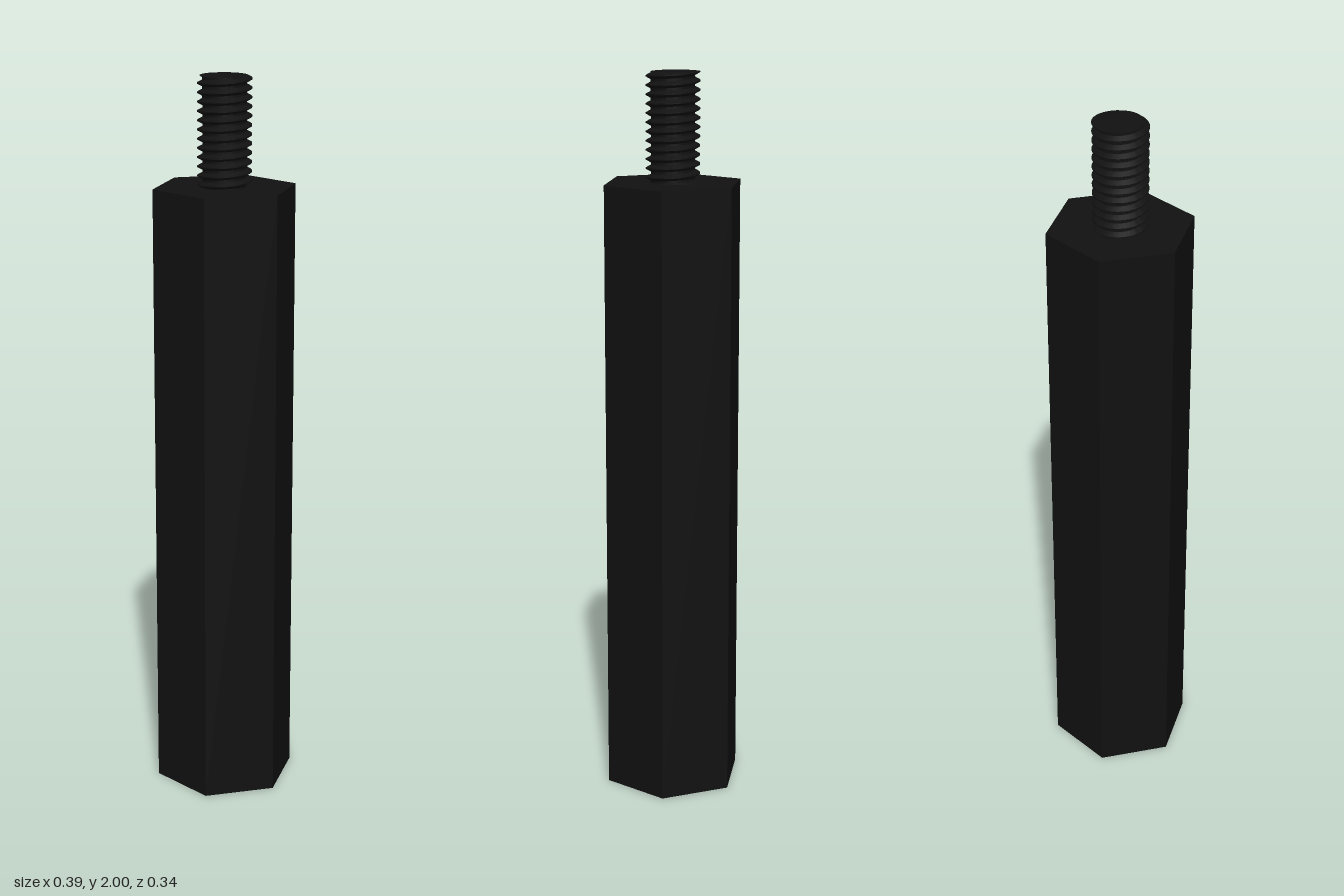
import * as THREE from 'three';
import { toCreasedNormals } from 'three/addons/utils/BufferGeometryUtils.js';

const HEX = 0.197, BODY_TOP = 1.707, TOP = 2, HOLE_DEPTH = 0.42;
const MAJOR = 0.073, MINOR = 0.059, PITCH = 0.0244, SEG = 64;
const KINKS = [-1 / 16, 1 / 16, 3 / 8, 5 / 8]; // crest and root edges within one pitch

// Phase shift of the helix around the axis
const turn = (a) => (a - Math.PI / 2) / (2 * Math.PI);

// Thread radius at a height and angle: flat crest, sloped flanks, flat root
function threadRadius(y, a) {
  const phase = (y - TOP) / PITCH - turn(a);
  const d = Math.abs(phase - Math.round(phase));
  const t = THREE.MathUtils.clamp((d - 1 / 16) / (3 / 8 - 1 / 16), 0, 1);
  return THREE.MathUtils.lerp(MAJOR, MINOR, t);
}

function threadPoint(y, a) {
  const r = threadRadius(y, a);
  return new THREE.Vector3(r * Math.cos(a), y, -r * Math.sin(a));
}

// Helical wall from y0 to y1, closed at y1 by a fan to apexY
function threadGeometry(y0, y1, apexY, inward) {
  const pos = [];
  const tri = (a, b, c) => {
    const area = b.clone().sub(a).cross(c.clone().sub(a)).length();
    if (area < 1e-9) return;
    for (const p of inward ? [a, c, b] : [a, b, c]) pos.push(p.x, p.y, p.z);
  };
  const first = Math.floor((y0 - TOP) / PITCH) - 2;
  const last = Math.ceil((y1 - TOP) / PITCH) + 2;
  const rows = [];
  for (let n = first; n <= last; n++) for (const k of KINKS) rows.push(n + k);
  const at = (row, a) =>
    threadPoint(THREE.MathUtils.clamp(TOP + PITCH * (row + turn(a)), y0, y1), a);
  const apex = new THREE.Vector3(0, apexY, 0);

  for (let i = 0; i < SEG; i++) {
    const a = (i / SEG) * Math.PI * 2, b = ((i + 1) / SEG) * Math.PI * 2;
    for (let k = 0; k < rows.length - 1; k++) {
      const p = at(rows[k], a), q = at(rows[k], b);
      const r = at(rows[k + 1], b), s = at(rows[k + 1], a);
      tri(p, q, r);
      tri(p, r, s);
    }
    tri(apex, threadPoint(y1, a), threadPoint(y1, b));
  }
  const geo = new THREE.BufferGeometry();
  geo.setAttribute('position', new THREE.Float32BufferAttribute(pos, 3));
  return toCreasedNormals(geo, 0.5);
}

function hexShape() {
  const pts = [];
  for (let i = 0; i < 6; i++) {
    const a = (i * Math.PI) / 3;
    pts.push(new THREE.Vector2(HEX * Math.cos(a), HEX * Math.sin(a)));
  }
  return new THREE.Shape(pts);
}

export function createModel() {
  const group = new THREE.Group();
  const material = new THREE.MeshStandardMaterial({ color: 0x111111 });
  const add = (name, geometry) => {
    const mesh = new THREE.Mesh(geometry, material);
    mesh.name = name;
    group.add(mesh);
    return mesh;
  };

  // Six flat sides, corners on the x axis
  const sides = new THREE.CylinderGeometry(HEX, HEX, BODY_TOP, 6, 1, true, Math.PI / 2);
  sides.translate(0, BODY_TOP / 2, 0);
  add('hexBodySides', toCreasedNormals(sides, 0.3));

  // Shoulder under the stud
  const shoulder = new THREE.ShapeGeometry(hexShape());
  shoulder.rotateX(-Math.PI / 2).translate(0, BODY_TOP, 0);
  add('topShoulder', shoulder);

  // Bottom face, cut to the rim of the threaded hole
  const base = hexShape();
  const rim = [];
  for (let i = 0; i < SEG; i++) {
    const p = threadPoint(0, (i / SEG) * Math.PI * 2);
    rim.push(new THREE.Vector2(p.x, p.z));
  }
  base.holes.push(new THREE.Path(rim));
  add('bottomFace', new THREE.ShapeGeometry(base).rotateX(Math.PI / 2));

  // Male stud above and threaded blind hole below
  add('threadedStud', threadGeometry(BODY_TOP, TOP, TOP, false));
  add('threadedHole', threadGeometry(0, HOLE_DEPTH, HOLE_DEPTH + 0.03, true));

  return group;
}
